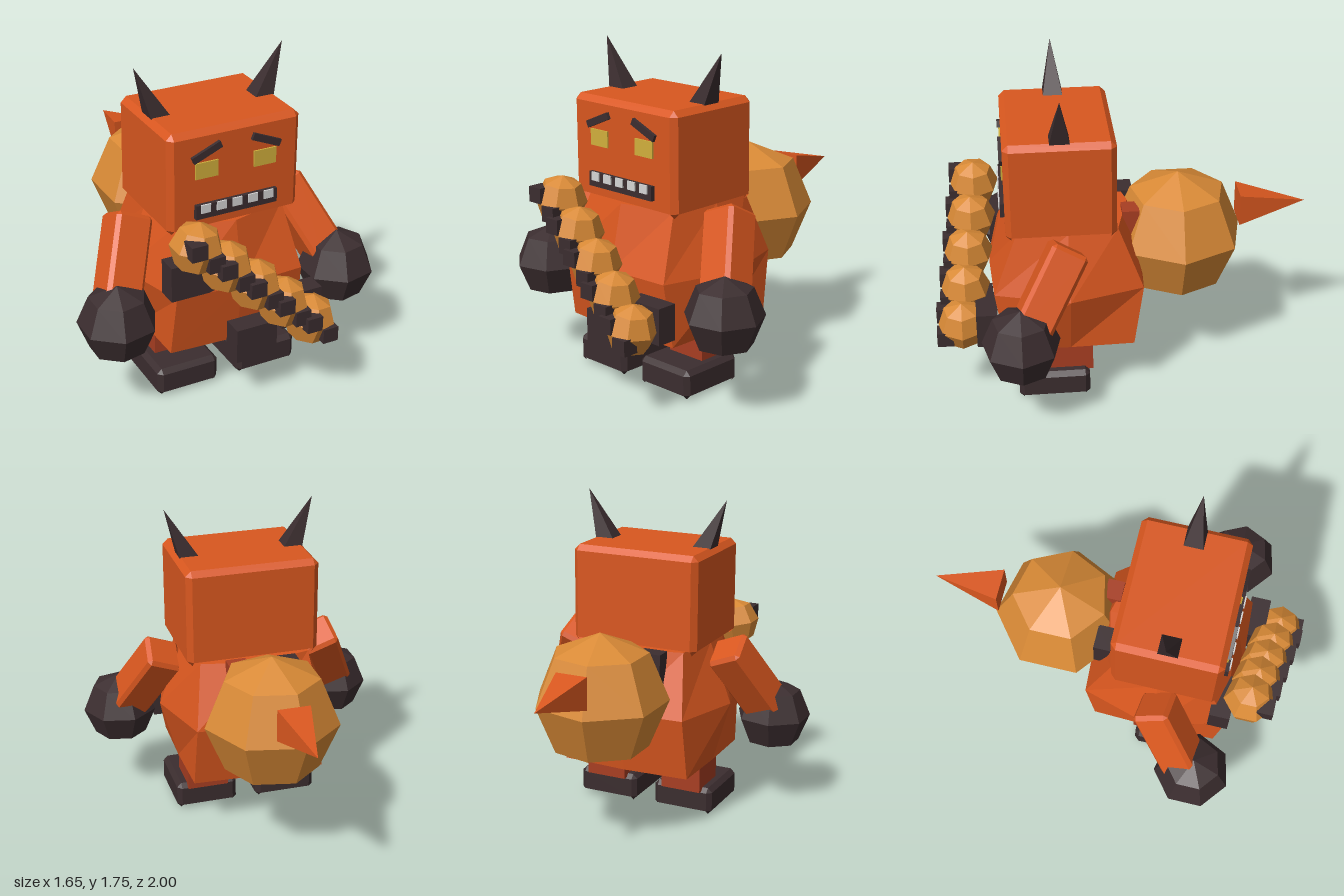
import * as THREE from 'three';
import { ConvexGeometry } from 'three/addons/geometries/ConvexGeometry.js';

function makeMaterial(name, color) {
  const m = new THREE.MeshStandardMaterial({ color, flatShading: true, side: THREE.DoubleSide });
  m.name = name;
  return m;
}

// Box with chamfered edges; an open one keeps only the corner tips underneath
function chamferBox(w, h, d, c, open = false) {
  const pts = [];
  for (const x of [-1, 1]) for (const y of [-1, 1]) for (const z of [-1, 1])
    for (let k = 0; k < 3; k++)
      pts.push(new THREE.Vector3(
        x * (w / 2 - (k === 0 ? 0 : c)),
        y * (h / 2 - (k === 1 ? 0 : c)),
        z * (d / 2 - (k === 2 ? 0 : c))));
  const geo = new ConvexGeometry(pts);
  if (!open) return geo;
  const p = geo.attributes.position, kept = [];
  const tri = new THREE.Triangle(), n = new THREE.Vector3();
  for (let i = 0; i < p.count; i += 3) {
    tri.setFromAttributeAndIndices(p, i, i + 1, i + 2);
    tri.getNormal(n);
    if (n.y < -0.1 && Math.min(Math.abs(n.x), Math.abs(n.z)) < 0.1) continue;
    kept.push(tri.a.clone(), tri.b.clone(), tri.c.clone());
  }
  const out = new THREE.BufferGeometry().setFromPoints(kept);
  out.computeVertexNormals();
  return out;
}

// Seven-sided ball, open underneath
const ball = r => new THREE.SphereGeometry(r, 7, 3, 0, Math.PI * 2, 0, Math.PI * 0.75).rotateY(Math.PI);

// Square pyramid standing on y = 0 with its tip moved sideways
function spike(half, h, tipX) {
  const g = new THREE.ConeGeometry(half * Math.SQRT2, h, 4).rotateY(Math.PI / 4).translate(0, h / 2, 0);
  const p = g.attributes.position;
  for (let i = 0; i < p.count; i++) p.setX(i, p.getX(i) + tipX * p.getY(i) / h);
  g.computeVertexNormals();
  return g;
}

// Bulging torso: three rings of eight corners, closed above and below
function torso() {
  const rings = [ // y, corner x, corner z, middle x, middle z
    [0.30, 0.365, 0.34, 0.372, 0.36],
    [0.64, 0.355, 0.39, 0.468, 0.41],
    [0.975, 0.30, 0.26, 0.345, 0.335]];
  const pos = [], index = [];
  for (const [y, cx, cz, mx, mz] of rings)
    for (let i = 0; i < 8; i++) {
      const a = i * Math.PI / 4, corner = i % 2;
      pos.push(Math.round(Math.sin(a)) * (corner ? cx : mx), y, Math.round(Math.cos(a)) * (corner ? cz : mz));
    }
  for (let r = 0; r < 2; r++)
    for (let i = 0; i < 8; i++) {
      const a = r * 8 + i, b = r * 8 + (i + 1) % 8;
      index.push(a, b, b + 8, a, b + 8, a + 8);
    }
  pos.push(0, 0.29, 0, 0, 0.985, 0);
  for (let i = 0; i < 8; i++) {
    const j = (i + 1) % 8;
    index.push(24, j, i, 25, 16 + i, 16 + j);
  }
  const g = new THREE.BufferGeometry();
  g.setAttribute('position', new THREE.Float32BufferAttribute(pos, 3));
  g.setIndex(index);
  g.computeVertexNormals();
  return g;
}

export function createModel() {
  const orange = makeMaterial('orange', 0xd9571f);
  const rust = makeMaterial('rust', 0xa83e22);
  const dark = makeMaterial('charcoal', 0x3b2d2f);
  const gold = makeMaterial('gold', 0xd98a36);
  const yellow = makeMaterial('yellow', 0xd2b03c);
  const white = makeMaterial('tooth white', 0xd6d6d6);

  const model = new THREE.Group();
  model.name = 'hornedBrute';
  const add = (name, geo, mat, x, y, z) => {
    const m = new THREE.Mesh(geo, mat);
    m.name = name;
    m.position.set(x, y, z);
    model.add(m);
    return m;
  };
  const box = (w, h, d) => new THREE.BoxGeometry(w, h, d);
  const cx = -0.012; // body centre line

  // Torso and head
  add('torso', torso(), orange, cx, 0, 0.30);
  add('head', chamferBox(0.725, 0.54, 0.57, 0.03, true), orange, cx, 1.22, 0.333);

  // Mouth and teeth
  add('mouth', box(0.45, 0.075, 0.03), dark, cx, 1.067, 0.625);
  for (let i = -2; i <= 2; i++)
    add('tooth', box(0.053, 0.045, 0.008), white, cx + i * 0.087, 1.084, 0.643);

  // Mirrored parts
  for (const s of [-1, 1]) {
    add('eye', box(0.123, 0.085, 0.009), yellow, cx + s * 0.16, 1.283, 0.622);
    add('brow', box(0.165, 0.036, 0.02), dark, cx + s * 0.163, 1.377, 0.625).rotation.z = -s * 0.4;
    add('horn', spike(0.052, 0.26, s * 0.12), dark, cx + s * 0.288, 1.485, 0.333);

    // Arm reaching from the shoulder down and forward to the fist
    const a = new THREE.Vector3(cx + s * 0.435, 0.95, 0.30);
    const b = new THREE.Vector3(cx + s * 0.63, 0.53, 0.55);
    const mid = a.clone().add(b).multiplyScalar(0.5);
    const arm = add('arm', chamferBox(0.2, a.distanceTo(b), 0.2, 0.02), orange, mid.x, mid.y, mid.z);
    arm.quaternion.setFromUnitVectors(new THREE.Vector3(0, 1, 0), a.sub(b).normalize());
    add('fist', ball(0.205), dark, s * 0.632, 0.52, 0.565);

    add('leg', box(0.23, 0.155, 0.23), rust, cx + s * 0.23, 0.213, 0.295);
    add('foot', chamferBox(0.345, 0.155, 0.38, 0.025, true), dark, cx + s * 0.23, 0.0775, 0.39);
  }

  // Slanting string of beads across the chest, each with two studs
  for (let i = 0; i < 5; i++) {
    const x = -0.305 + i * 0.15, y = 0.965 - i * 0.129, z = 0.775 + i * 0.0225;
    add('bead', ball(0.135), gold, x, y, z).rotation.z = -0.15;
    for (const s of [-1, 1])
      add('stud', box(0.085, 0.08, 0.085), dark, x + s * 0.047, y - s * 0.043, z + 0.09);
  }

  // Blocks hanging behind the beads
  add('chestBlock', box(0.235, 0.19, 0.11), dark, -0.283, 0.735, 0.645);
  add('bellyBlock', box(0.23, 0.19, 0.11), dark, 0.025, 0.35, 0.755);
  add('hipBlock', box(0.23, 0.19, 0.11), dark, 0.295, 0.465, 0.735);

  // Ball on the back with its spike and mounts
  add('backBall', ball(0.36), gold, 0, 0.775, -0.305);
  add('backSpike', spike(0.087, 0.365, 0), orange, -0.012, 0.918, -0.635).rotation.x = -Math.PI / 2;
  add('backMountDark', box(0.13, 0.2, 0.09), dark, -0.165, 0.88, -0.03);
  add('backMountRust', box(0.11, 0.2, 0.09), rust, 0.105, 0.895, -0.04);

  return model;
}
